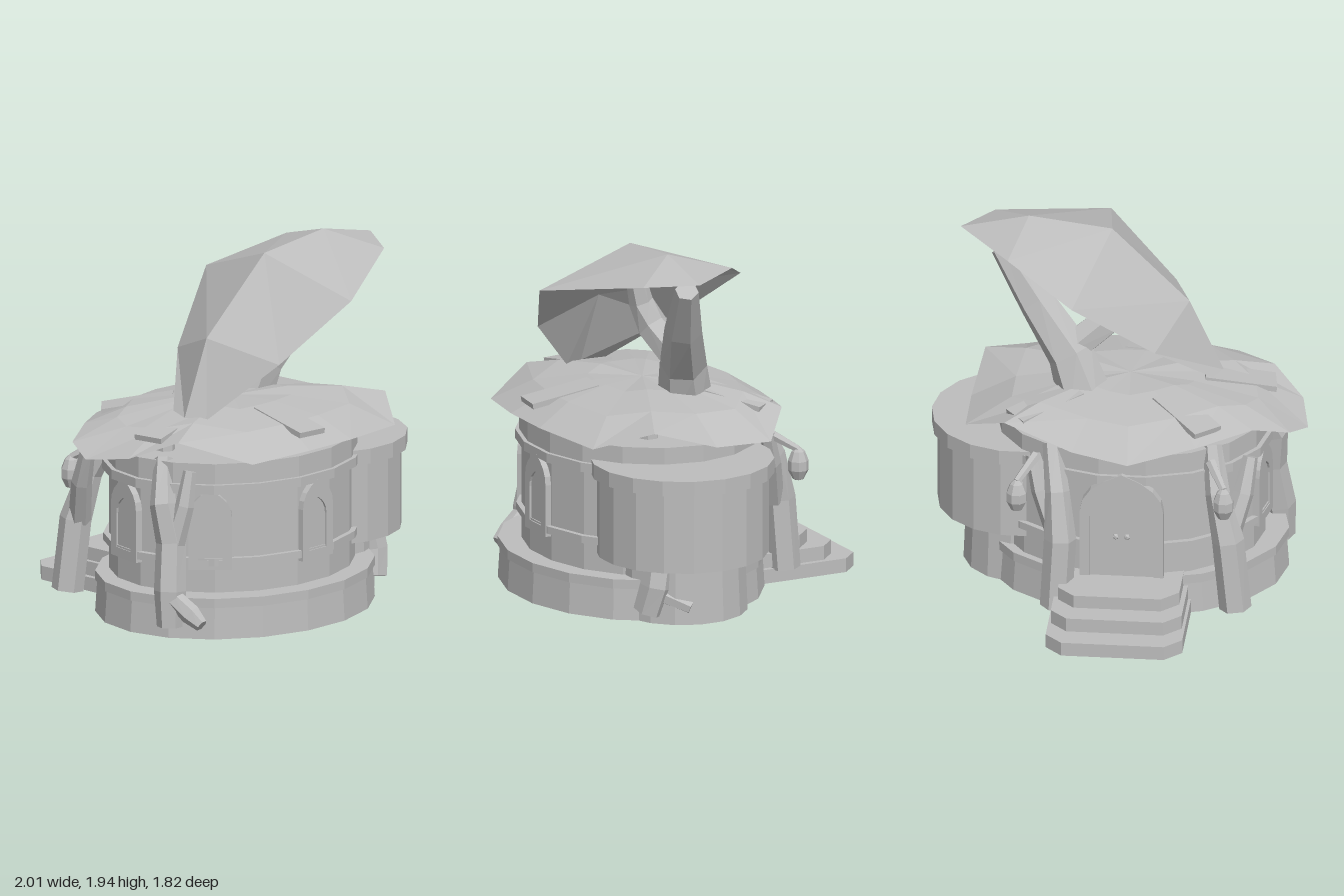
import * as THREE from 'three';

const CX = -0.06, CZ = 0.21, RX = 0.71, RZ = 0.605; // oval wall centre and radii

export function createModel() {
  const group = new THREE.Group();
  const grey = new THREE.MeshStandardMaterial({ color: 0xbdbdbd, flatShading: true, side: THREE.DoubleSide });
  grey.name = 'stone grey';

  const add = (name, geometry, x = 0, y = 0, z = 0, parent = group) => {
    const mesh = new THREE.Mesh(geometry, grey);
    mesh.name = name;
    mesh.position.set(x, y, z);
    parent.add(mesh);
    return mesh;
  };

  // Skin stretched over rows of points of equal length
  const loft = (rows, closed) => {
    const n = rows[0].length, index = [];
    for (let i = 0; i < rows.length - 1; i++) {
      for (let j = 0; j < (closed ? n : n - 1); j++) {
        const a = i * n + j, b = i * n + (j + 1) % n;
        index.push(a, b, a + n, b, b + n, a + n);
      }
    }
    const geo = new THREE.BufferGeometry();
    geo.setAttribute('position', new THREE.Float32BufferAttribute(rows.flat(2), 3));
    geo.setIndex(index);
    const flat = geo.toNonIndexed();
    flat.computeVertexNormals();
    return flat;
  };

  // Tapered six-sided limb through [x, y, z, radius] stations
  const limb = (name, stations) => {
    const pts = stations.map(s => new THREE.Vector3(s[0], s[1], s[2]));
    const side = new THREE.Vector3(), up = new THREE.Vector3();
    const rows = pts.map((p, i) => {
      const dir = pts[Math.min(i + 1, pts.length - 1)].clone().sub(pts[Math.max(i - 1, 0)]).normalize();
      side.crossVectors(dir, new THREE.Vector3(0.13, 0.2, 1)).normalize();
      up.crossVectors(side, dir);
      return Array.from({ length: 6 }, (_, k) => {
        const a = k * Math.PI / 3, r = stations[i][3];
        return p.clone().addScaledVector(side, r * Math.cos(a)).addScaledVector(up, r * Math.sin(a)).toArray();
      });
    });
    rows.unshift(rows[0].map(() => pts[0].toArray()));
    rows.push(rows[0].map(() => pts[pts.length - 1].toArray()));
    return add(name, loft(rows, true));
  };

  // Oval turned drum from [radiusFactor, y] points
  const drum = (name, profile, x, z, rx, rz, sides = 18) => {
    const geo = new THREE.LatheGeometry(profile.map(p => new THREE.Vector2(...p)), sides, Math.PI / sides);
    geo.scale(rx, 1, rz);
    return add(name, geo, x, 0, z);
  };

  // Base, open underneath, and the oval wall with two bands
  drum('base', [[1, 0], [0.985, 0.17], [1, 0.17], [1, 0.22], [0, 0.22]], -0.08, 0.25, 0.8, 0.67);
  drum('wall', [[0.985, 0.22], [0.985, 0.37], [1.03, 0.37], [1.03, 0.41], [0.985, 0.41], [0.985, 0.76],
    [1.04, 0.76], [1.04, 0.81], [1.005, 0.81], [1.005, 0.92], [0, 0.92]], CX, CZ, RX, RZ);

  // Round side room, open underneath, on its support
  drum('sideRoomSupport', [[1.02, 0], [0.98, 0.33]], 0.49, 0.25, 0.34, 0.34, 16);
  drum('sideRoom', [[0.455, 0.32], [0.455, 0.75], [0.485, 0.75], [0.485, 0.83], [0, 0.83]], 0.52, 0.265, 1, 1);

  // Pointed arch outline standing on height y0
  const arch = (w, h, Type, y0 = 0) => {
    const s = new Type();
    s.moveTo(-w / 2, y0);
    s.lineTo(w / 2, y0);
    s.lineTo(w / 2, y0 + h * 0.65);
    s.quadraticCurveTo(w / 2, y0 + h * 0.87, 0, y0 + h);
    s.quadraticCurveTo(-w / 2, y0 + h * 0.87, -w / 2, y0 + h * 0.65);
    s.closePath();
    return s;
  };
  const plate = (shape, depth) => new THREE.ExtrudeGeometry(shape, { depth, bevelEnabled: false, curveSegments: 4 });

  // Holder that faces outward from the wall at an angle
  const wallMount = (name, angle) => {
    const holder = new THREE.Group();
    holder.name = name;
    const nx = Math.sin(angle), nz = Math.cos(angle);
    holder.position.set(CX + RX * nx, 0, CZ + RZ * nz);
    holder.rotation.y = Math.atan2(nx / RX, nz / RZ);
    group.add(holder);
    return holder;
  };

  // Arched windows
  for (const angle of [0, -0.91, -1.75]) {
    const holder = wallMount('window', angle);
    const frame = arch(0.23, 0.43, THREE.Shape);
    frame.holes.push(arch(0.13, 0.28, THREE.Path, 0.05));
    add('windowFrame', plate(frame, 0.04), 0, 0.35, -0.025, holder);
    add('windowPane', plate(arch(0.14, 0.29, THREE.Shape), 0.008), 0, 0.395, -0.005, holder);
  }

  // Back door with two knobs
  const door = wallMount('door', Math.PI);
  const doorFrame = arch(0.44, 0.62, THREE.Shape);
  doorFrame.holes.push(arch(0.34, 0.54, THREE.Path, 0.02));
  add('doorFrame', plate(doorFrame, 0.05), 0, 0.2, -0.03, door);
  add('doorPanel', plate(arch(0.36, 0.56, THREE.Shape), 0.03), 0, 0.21, -0.02, door);
  for (const s of [-1, 1]) add('doorKnob', new THREE.IcosahedronGeometry(0.017, 0), s * 0.03, 0.46, 0.022, door);

  // Hollow steps with clipped corners
  [[0.36, -0.915, 0], [0.345, -0.79, 0.08], [0.32, -0.66, 0.15]].forEach(([w, z, y]) => {
    const c = 0.09;
    const outline = [[-w, -0.3], [w, -0.3], [w, z + c], [w - c, z], [-w + c, z], [-w, z + c]];
    const top = y + 0.075;
    add('step', loft([outline.map(p => [p[0], y, p[1]]), outline.map(p => [p[0], top, p[1]]),
      outline.map(() => [0, top, z / 2 - 0.15])], true), CX);
  });

  // Wide drooping leaf roof
  const rim = [[-1, 0.92, 0.04], [-0.92, 0.97, -0.13], [-0.73, 1.02, -0.22], [-0.45, 0.99, -0.4], [-0.1, 0.93, -0.52],
    [0.2, 0.96, -0.45], [0.57, 1.04, -0.3], [0.79, 0.93, -0.12], [0.79, 0.94, 0.2], [0.75, 1.05, 0.55], [0.55, 0.95, 0.81],
    [0.12, 0.97, 0.9], [-0.2, 0.97, 0.9], [-0.56, 0.95, 0.83], [-0.78, 1.05, 0.5], [-0.95, 0.96, 0.3]];
  const hub = [-0.05, 1.12, 0.2];
  const ring = (t, y) => rim.map(p => [hub[0] + (p[0] - hub[0]) * t, y + (p[1] - 0.97) * t * 0.5, hub[2] + (p[2] - hub[2]) * t]);
  add('leafRoof', loft([rim, ring(0.72, 1.075), ring(0.36, 1.12), rim.map(() => hub)], true));

  // Beams pressing up through the roof, and short posts below it
  for (const [x, z] of [[-0.38, -0.17], [-0.62, 0.28], [0.37, -0.12], [-0.1, 0.66]]) {
    const beam = add('roofBeam', new THREE.BoxGeometry(0.17, 0.03, 0.38), x, 1.073, z);
    beam.rotation.order = 'YXZ';
    beam.rotation.set(0.17, Math.atan2(x - hub[0], z - hub[2]), 0);
  }
  for (let i = 0; i < 7; i++) {
    const a = i * Math.PI / 3.5 + 0.2;
    add('roofPost', new THREE.CylinderGeometry(0.045, 0.055, 0.16, 6), CX + 0.5 * Math.sin(a), 0.98, CZ + 0.4 * Math.cos(a));
  }

  // Forked trunk above the roof
  limb('trunk', [[0.17, 1, 0.06, 0.15], [0.26, 1.25, 0.12, 0.125], [0.45, 1.5, 0.22, 0.1], [0.64, 1.77, 0.3, 0.063]]);
  limb('sideBranch', [[0.29, 1.25, 0.13, 0.09], [0.07, 1.42, 0.2, 0.085], [0.03, 1.55, 0.25, 0.065], [0.03, 1.72, 0.29, 0.05]]);

  // Big folded leaf hood: front edge, ridge, back edge
  const tip = [0.86, 1.86, 0.34];
  add('leafHood', loft([
    [tip, tip, tip],
    [[0.7, 1.84, 0.59], [0.5, 1.94, 0.34], [0.58, 1.84, 0]],
    [[0.12, 1.72, 0.9], [0.06, 1.89, 0.33], [0.22, 1.69, -0.24]],
    [[-0.24, 1.41, 0.72], [-0.35, 1.5, 0.3], [-0.2, 1.36, -0.05]],
    [[-0.48, 1.1, 0.42], [-0.53, 1.1, 0.31], [-0.5, 1.1, 0.2]],
  ], false));

  // Climbing roots round the wall, with forks and stub twigs
  limb('leftRoot', [[-0.7, 0.92, 0.32, 0.05], [-0.79, 0.7, 0.4, 0.07], [-0.77, 0.5, 0.44, 0.08], [-0.81, 0.25, 0.47, 0.085], [-0.82, 0.06, 0.48, 0.07]]);
  limb('leftFork', [[-0.77, 0.5, 0.46, 0.06], [-0.73, 0.7, 0.5, 0.05], [-0.69, 0.88, 0.5, 0.035]]);
  limb('leftTwig', [[-0.82, 0.22, 0.5, 0.05], [-0.79, 0.14, 0.6, 0.055], [-0.78, 0.09, 0.67, 0.035]]);
  limb('rightRoot', [[0.67, 0.4, 0.47, 0.085], [0.69, 0.2, 0.51, 0.085], [0.66, 0.06, 0.54, 0.08]]);
  limb('rightTwig', [[0.7, 0.15, 0.48, 0.045], [0.8, 0.09, 0.36, 0.035]]);
  limb('backRightRoot', [[-0.52, 0.92, -0.22, 0.05], [-0.56, 0.7, -0.34, 0.065], [-0.62, 0.45, -0.39, 0.085], [-0.66, 0.07, -0.41, 0.085]]);
  limb('backRightFork', [[-0.62, 0.45, -0.36, 0.06], [-0.69, 0.68, -0.28, 0.055], [-0.72, 0.86, -0.21, 0.04]]);
  limb('backLeftRoot', [[0.32, 0.92, -0.27, 0.05], [0.28, 0.7, -0.4, 0.065], [0.26, 0.45, -0.45, 0.085], [0.28, 0.07, -0.47, 0.085]]);
  limb('backLeftFork', [[0.28, 0.45, -0.4, 0.06], [0.37, 0.68, -0.34, 0.055], [0.42, 0.86, -0.29, 0.04]]);

  // Hanging lanterns beside the door
  for (const [x, from] of [[-0.6, -0.52], [0.49, 0.4]]) {
    limb('lanternTwig', [[from, 0.86, -0.3, 0.03], [x, 0.77, -0.44, 0.02]]);
    const profile = [[0, 0.6], [0.03, 0.61], [0.055, 0.66], [0.055, 0.71], [0.035, 0.76], [0.015, 0.78], [0, 0.78]];
    drum('lantern', profile, x, -0.44, 1, 1, 8);
  }
  return group;
}
